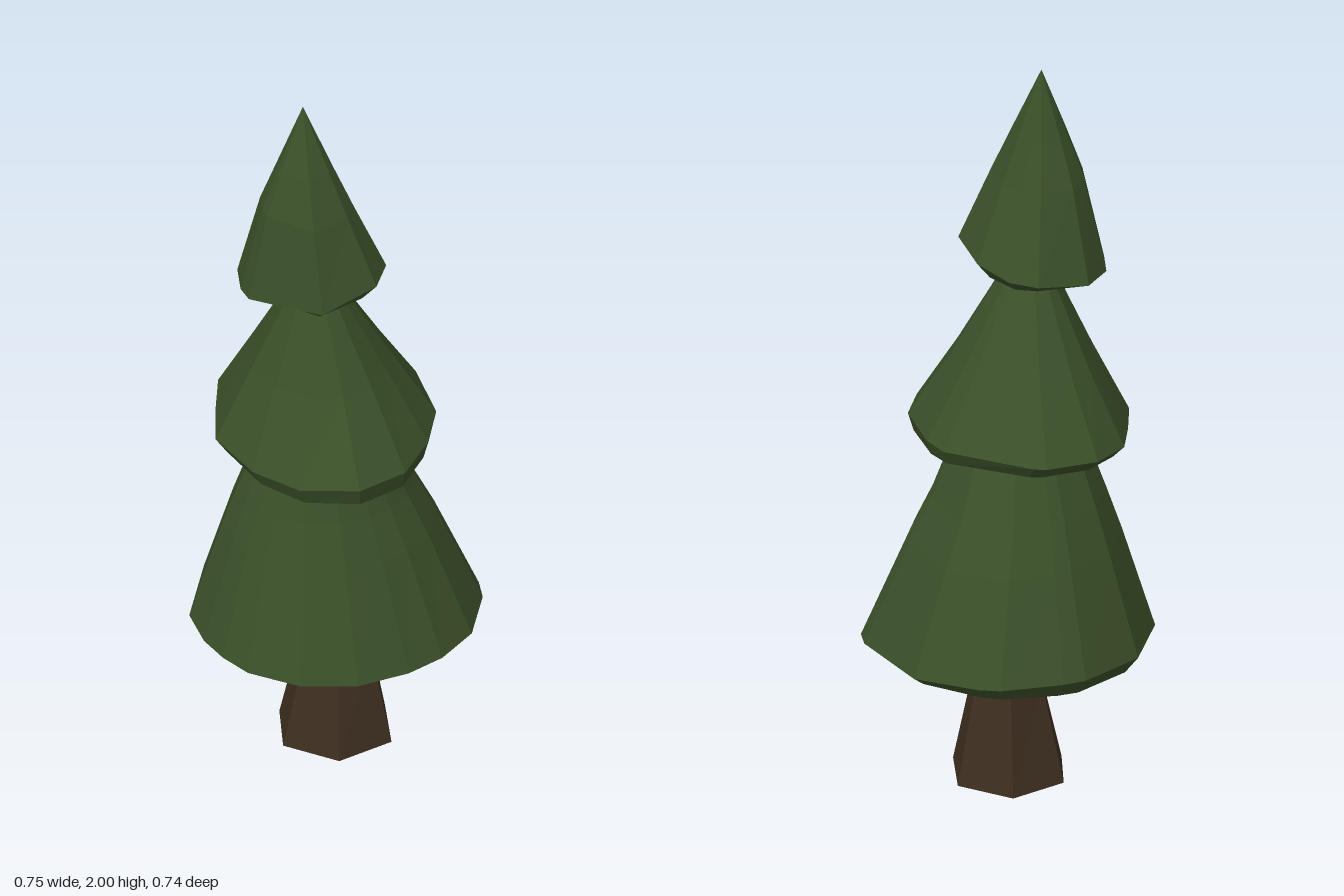
import * as THREE from 'three';

const leaf = new THREE.MeshStandardMaterial({ color: 0x3b5029, flatShading: true });
const bark = new THREE.MeshStandardMaterial({ color: 0x3e2e20, flatShading: true });

// Closed solid through scaled copies of an [x, z] outline, from bottom to top.
// Each ring is [scale, centreX, y, centreZ, tiltX, tiltZ]; both ends close on a point.
function loft(name, outline, [ox, oz], rings, bottom, top, material) {
  const n = outline.length;
  const pos = [...bottom];
  for (const [s, cx, y, cz, tx = 0, tz = 0] of rings) {
    for (const [px, pz] of outline) {
      const x = cx + s * (px - ox), z = cz + s * (pz - oz);
      pos.push(x, y + tx * x + tz * z, z);
    }
  }
  pos.push(...top);
  const last = 1 + rings.length * n;
  const index = [];
  for (let i = 0; i < n; i++) {
    const j = (i + 1) % n;
    index.push(0, 1 + i, 1 + j);
    for (let r = 0; r < rings.length - 1; r++) {
      const a = 1 + r * n + i, b = 1 + r * n + j;
      index.push(a, a + n, b, b, a + n, b + n);
    }
    index.push(last - n + i, last, last - n + j);
  }
  const geo = new THREE.BufferGeometry();
  geo.setAttribute('position', new THREE.Float32BufferAttribute(pos, 3));
  geo.setIndex(index);
  const flat = geo.toNonIndexed();
  flat.computeVertexNormals();
  const mesh = new THREE.Mesh(flat, material);
  mesh.name = name;
  return mesh;
}

export function createModel() {
  const tree = new THREE.Group();
  tree.name = 'pineTree';

  // Six-sided trunk, flared at the foot and bent towards the front
  tree.add(loft('trunk',
    [[0.155, 0], [0.07, 0.135], [-0.09, 0.135], [-0.165, 0], [-0.09, -0.14], [0.07, -0.14]], [0, 0],
    [[1, 0, 0, 0], [0.63, 0, 0.265, 0, 0, -0.17], [0.55, 0, 0.45, 0.045]],
    [0, 0, 0], [0, 0.45, 0.045], bark));

  // Wide bottom tier
  tree.add(loft('bottomFoliage',
    [[0.37, -0.03], [0.345, 0.095], [0.295, 0.19], [0.2, 0.295], [0.065, 0.36], [-0.08, 0.367],
      [-0.165, 0.338], [-0.24, 0.295], [-0.32, 0.215], [-0.375, 0.01], [-0.32, -0.18],
      [-0.28, -0.23], [-0.155, -0.338], [-0.1, -0.358], [0.08, -0.37], [0.295, -0.23], [0.33, -0.18]],
    [0, 0],
    [[0.9, 0, 0.368, 0, 0.04, -0.03], [1, 0, 0.397, 0, -0.02, -0.04], [0.73, -0.015, 0.68, 0.01],
      [0.6, -0.02, 0.8, 0.02], [0.45, -0.015, 0.95, 0.035]],
    [0, 0.37, 0], [-0.02, 1.3, 0.04], leaf));

  // Middle tier, tipped down at the front
  tree.add(loft('middleFoliage',
    [[0.275, 0.03], [0.275, 0.17], [0.2, 0.285], [0.055, 0.343], [-0.09, 0.32], [-0.235, 0.235],
      [-0.29, 0.12], [-0.335, 0.01], [-0.32, -0.11], [-0.23, -0.225], [-0.2, -0.24],
      [0.05, -0.262], [0.12, -0.22], [0.24, -0.09]],
    [-0.03, 0.04],
    [[0.92, -0.02, 0.962, 0.04, -0.02, -0.08], [1, -0.03, 1.008, 0.04, 0.01, -0.06],
      [0.63, -0.035, 1.2, 0.04], [0.22, -0.035, 1.43, 0.06]],
    [-0.03, 0.97, 0.04], [-0.04, 1.55, 0.06], leaf));

  // Pointed top tier, tipped down on its right
  tree.add(loft('topFoliage',
    [[0.14, 0], [0.155, 0.09], [0.07, 0.235], [-0.05, 0.225], [-0.15, 0.215], [-0.19, 0.18],
      [-0.235, 0.105], [-0.24, -0.005], [-0.15, -0.115], [-0.08, -0.143], [0.03, -0.107]],
    [-0.04, 0.05],
    [[0.78, -0.04, 1.447, 0.055, 0.04, -0.02], [1, -0.04, 1.488, 0.05, 0.14, -0.08],
      [0.63, -0.045, 1.7, 0.075], [0.38, -0.05, 1.82, 0.08]],
    [-0.04, 1.435, 0.05], [-0.06, 2, 0.08], leaf));

  return tree;
}
